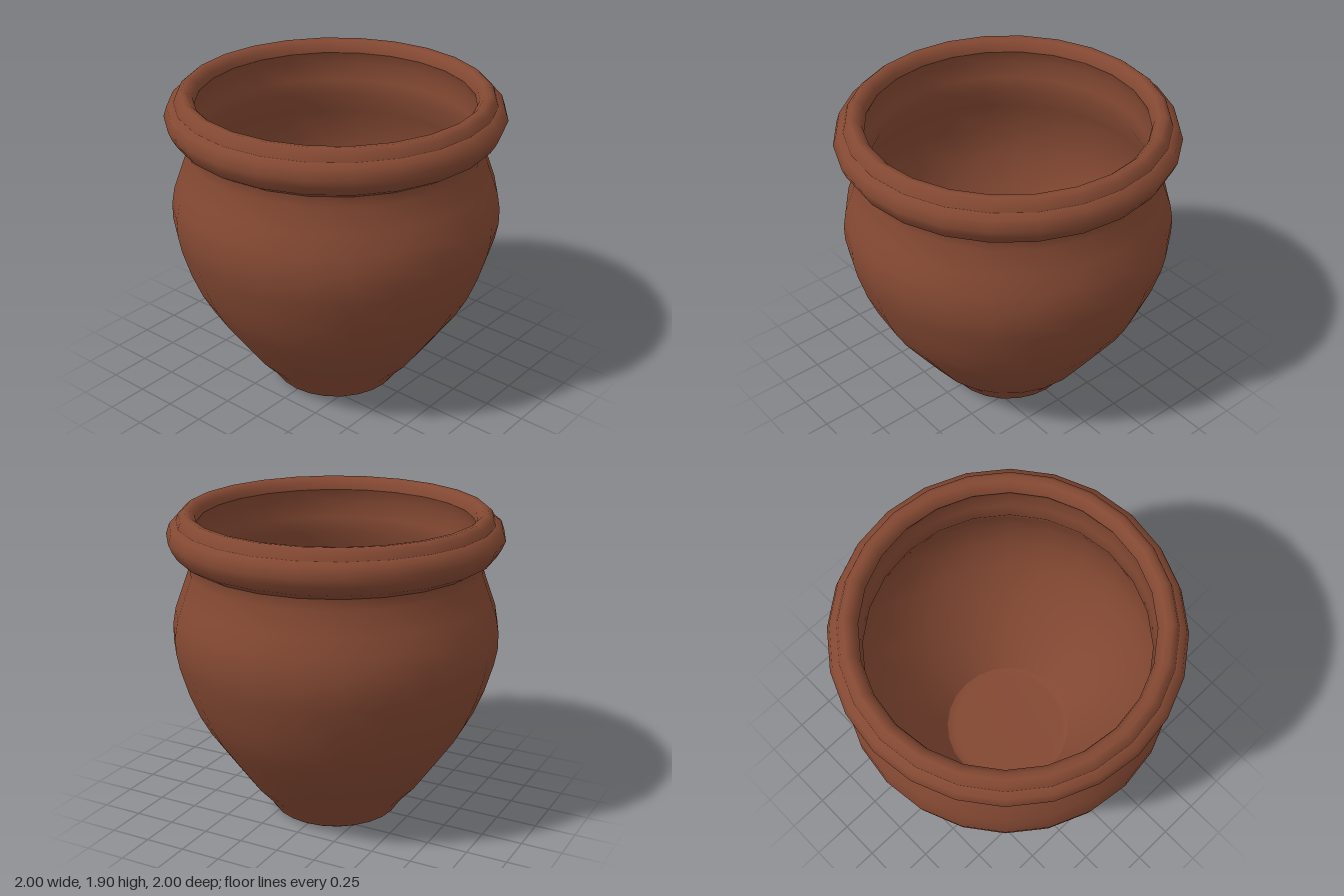
import * as THREE from 'three';

const SIDES = 24;

export function createModel() {
  const pot = new THREE.Group();
  pot.name = 'clayPot';
  const clay = new THREE.MeshStandardMaterial({ color: 0x834832 });
  clay.name = 'terracotta';

  // Turns a profile of [radius, height] points; each part keeps its own smooth
  // normals, so the joins between parts stay crisp.
  const turn = (name, profile) => {
    const points = profile.map(([r, y]) => new THREE.Vector2(r, y));
    const mesh = new THREE.Mesh(new THREE.LatheGeometry(points, SIDES), clay);
    mesh.name = name;
    pot.add(mesh);
  };

  // Flat foot
  turn('base', [[0, 0], [0.37, 0], [0.39, 0.012]]);

  // Flared belly, shoulder and neck
  turn('body', [
    [0.39, 0.012], [0.45, 0.1], [0.54, 0.2], [0.68, 0.4], [0.79, 0.56],
    [0.855, 0.68], [0.915, 0.83], [0.965, 1.0], [0.983, 1.1], [0.983, 1.2],
    [0.965, 1.3], [0.925, 1.41], [0.875, 1.55], [0.885, 1.62],
  ]);

  // Thick rolled collar below the lip
  turn('collar', [
    [0.885, 1.62], [0.95, 1.66], [0.98, 1.71], [1.0, 1.76], [0.98, 1.82], [0.94, 1.84],
  ]);

  // Rounded lip around the mouth
  turn('lip', [
    [0.94, 1.84], [0.925, 1.88], [0.895, 1.905], [0.86, 1.9], [0.83, 1.87], [0.82, 1.83],
  ]);

  // Hollow inside, following the outer wall
  turn('innerWall', [
    [0.82, 1.83], [0.85, 1.75], [0.84, 1.64], [0.825, 1.55], [0.88, 1.41],
    [0.935, 1.2], [0.92, 1.0], [0.865, 0.8], [0.74, 0.55], [0.57, 0.3], [0.41, 0.08],
  ]);
  turn('innerFloor', [[0.41, 0.08], [0.36, 0.06], [0, 0.06]]);

  return pot;
}
